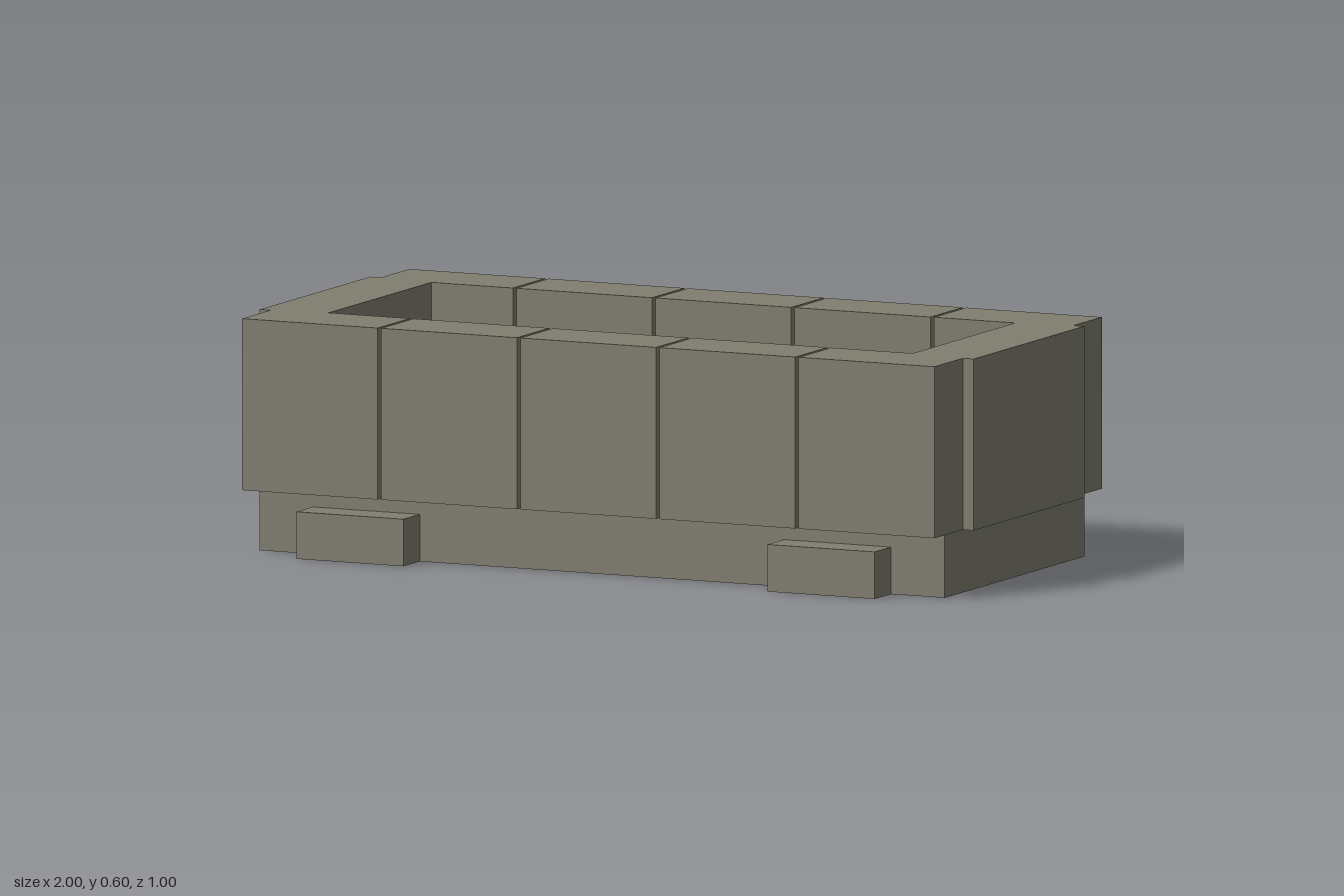
import * as THREE from 'three';

export function createModel() {
  const group = new THREE.Group();
  const stone = new THREE.MeshStandardMaterial({ color: 0x807e70 });
  stone.name = 'stone';
  const water = new THREE.MeshStandardMaterial({ color: 0x347a80 });
  water.name = 'water';

  // box given by its minimum and maximum corners
  function block(name, material, [x0, y0, z0], [x1, y1, z1]) {
    const mesh = new THREE.Mesh(new THREE.BoxGeometry(x1 - x0, y1 - y0, z1 - z0), material);
    mesh.position.set((x0 + x1) / 2, (y0 + y1) / 2, (z0 + z1) / 2);
    mesh.name = name;
    group.add(mesh);
  }

  // plinth, rising a little between the wall blocks
  block('plinth', stone, [-0.96, 0, -0.405], [0.96, 0.24, 0.405]);

  // water surface inside the trough
  block('water', water, [-0.82, 0.375, -0.298], [0.82, 0.41, 0.298]);

  for (const side of [-1, 1]) {
    // long walls: five blocks with narrow gaps
    const z = [side * 0.297, side * 0.485].sort((a, b) => a - b);
    for (let i = -2; i <= 2; i++) {
      const x = i * 0.39;
      block('longWallBlock', stone, [x - 0.19, 0.163, z[0]], [x + 0.19, 0.6, z[1]]);
    }

    // end wall, slightly proud of the corner blocks
    const ex = [side * 0.818, side].sort((a, b) => a - b);
    block('endWallBlock', stone, [ex[0], 0.163, -0.32], [ex[1], 0.6, 0.32]);

    // low feet against the plinth
    const fz = [side * 0.405, side * 0.5].sort((a, b) => a - b);
    for (const x of [-0.66, 0.66]) {
      block('foot', stone, [x - 0.15, 0, fz[0]], [x + 0.15, 0.12, fz[1]]);
    }
  }
  return group;
}
